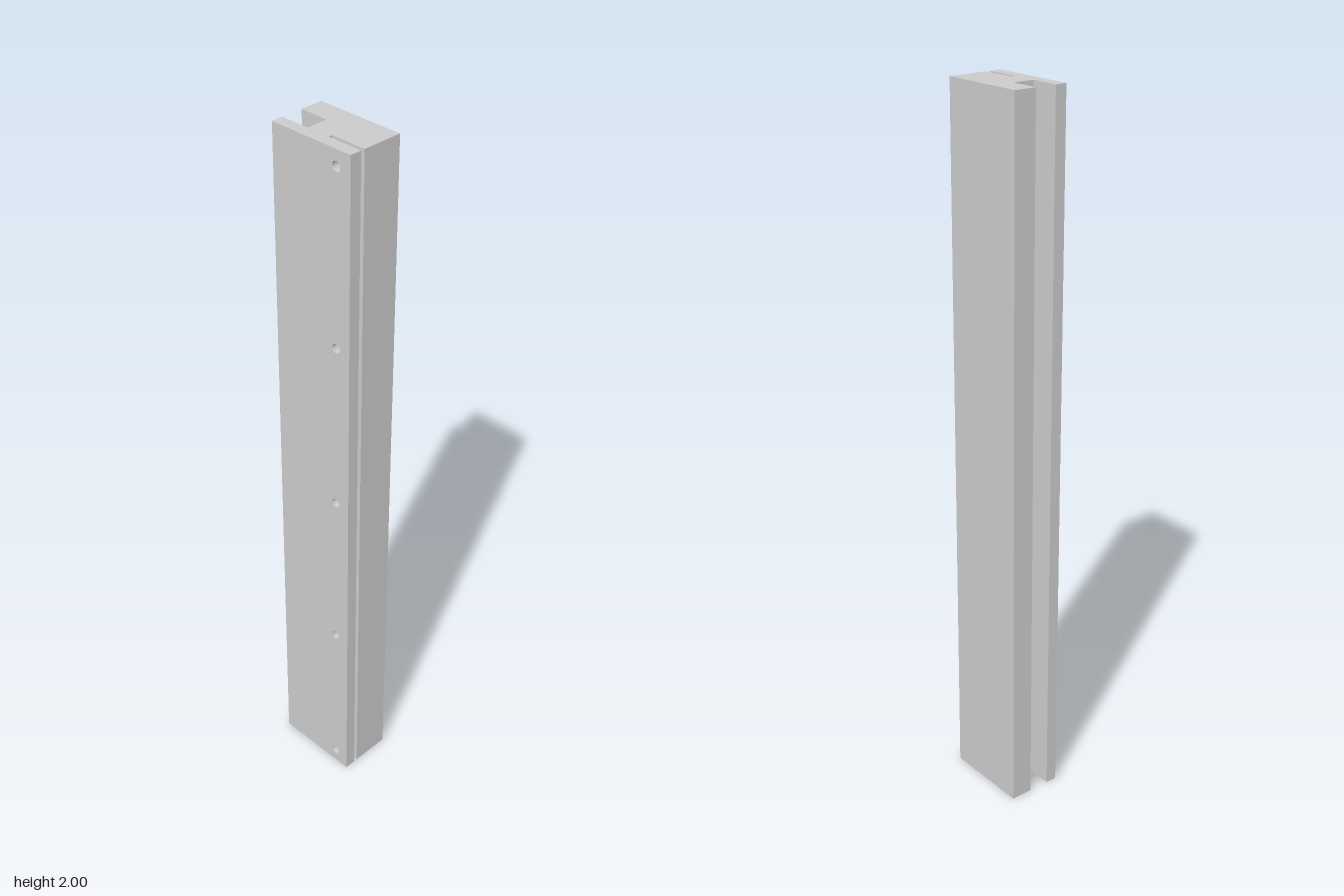
import * as THREE from 'three';
import { mergeGeometries } from 'three/addons/utils/BufferGeometryUtils.js';

const HEIGHT = 2;
const HOLE_X = 0.081, HOLE_R = 0.013;
const HOLE_YS = [0.042, 0.521, 1, 1.479, 1.958];
const FRONT = 0.079, BACK = -0.079, LIP = 0.046; // LIP: rear face of the front flange
const SIDE = 0.126;

// Cross-section as [x, z], running left to right along the front face first
const PROFILE = [
  [-SIDE, FRONT], [SIDE, FRONT],
  [SIDE, LIP], [0.025, LIP], [0.025, 0.035], [SIDE, 0.035], // narrow groove
  [SIDE, BACK], [-SIDE, BACK],
  [-SIDE, -0.015], [-0.043, -0.015], [-0.043, LIP], [-SIDE, LIP], // wide channel
];
const DRILLED_EDGES = [0, 2]; // both faces of the drilled flange

// One flat wall of the bar between two profile corners, with optional screw holes
function wall([ax, az], [bx, bz], drilled) {
  const length = Math.hypot(bx - ax, bz - az);
  const shape = new THREE.Shape();
  shape.moveTo(0, 0).lineTo(length, 0).lineTo(length, HEIGHT).lineTo(0, HEIGHT).closePath();
  if (drilled) {
    for (const y of HOLE_YS) {
      shape.holes.push(new THREE.Path().absarc(Math.abs(HOLE_X - ax), y, HOLE_R, 0, Math.PI * 2, true));
    }
  }
  const along = new THREE.Vector3(bx - ax, 0, bz - az).normalize();
  const up = new THREE.Vector3(0, 1, 0);
  const matrix = new THREE.Matrix4()
    .makeBasis(along, up, along.clone().cross(up))
    .setPosition(ax, 0, az);
  return new THREE.ShapeGeometry(shape, 12).applyMatrix4(matrix);
}

// End face of the bar: side = 1 for the top, -1 for the bottom
function cap(side) {
  const shape = new THREE.Shape(PROFILE.map(([x, z]) => new THREE.Vector2(x, -side * z)));
  return new THREE.ShapeGeometry(shape)
    .rotateX(-side * Math.PI / 2)
    .translate(0, side > 0 ? HEIGHT : 0, 0);
}

export function createModel() {
  const group = new THREE.Group();
  group.name = 'groovedProfileBar';

  // Grooved bar
  const walls = PROFILE.map((corner, i) =>
    wall(corner, PROFILE[(i + 1) % PROFILE.length], DRILLED_EDGES.includes(i)));
  const bar = new THREE.Mesh(
    mergeGeometries([...walls, cap(1), cap(-1)]),
    new THREE.MeshStandardMaterial({ color: 0xcccccc }));
  bar.name = 'bar';
  group.add(bar);

  // Bores of the screw holes through the front flange
  const boreGeometry = new THREE.CylinderGeometry(HOLE_R, HOLE_R, FRONT - LIP, 24, 1, true).rotateX(Math.PI / 2);
  const boreMaterial = new THREE.MeshStandardMaterial({ color: 0xcccccc, side: THREE.DoubleSide });
  for (const y of HOLE_YS) {
    const bore = new THREE.Mesh(boreGeometry, boreMaterial);
    bore.name = 'screwHole';
    bore.position.set(HOLE_X, y, (FRONT + LIP) / 2);
    group.add(bore);
  }
  return group;
}
